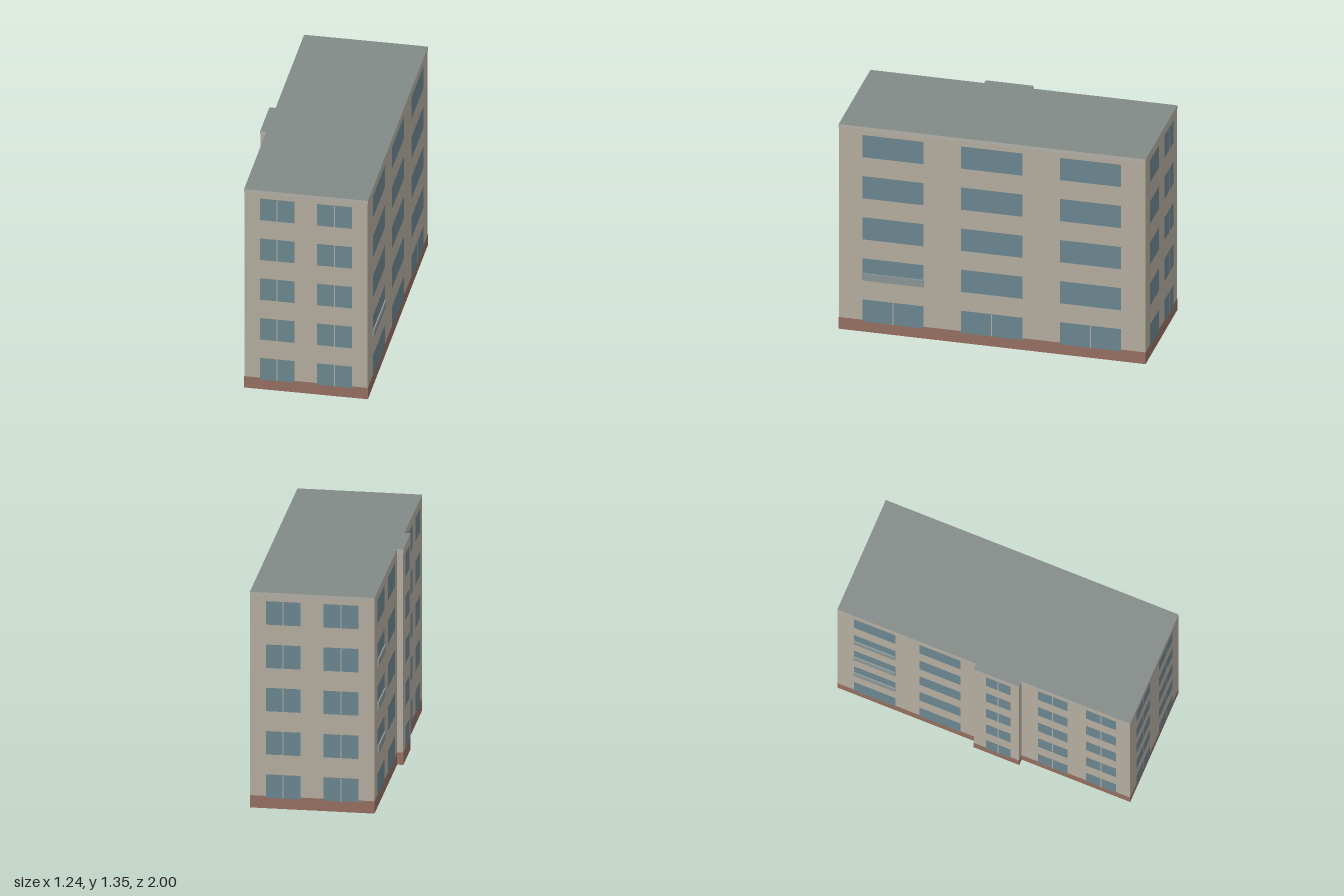
import * as THREE from 'three';
import { mergeGeometries } from 'three/addons/utils/BufferGeometryUtils.js';

const W = 0.37, L = 0.9325, H = 1.345;              // half width, half length, height
const BAY = { out: 0.037, z0: -0.047, z1: 0.24 };   // stair bay on the -x wall
const FLOORS = 5, STOREY = 0.27, SILL = 0.066, WIN_H = 0.146;

const mat = (color, side = THREE.FrontSide) => new THREE.MeshStandardMaterial({ color, side });

// Outline [x, z] of the block, grown outward by o
function footprint(o = 0) {
  const w = W + o, l = L + o, b = w + BAY.out, z0 = BAY.z0 - o, z1 = BAY.z1 + o;
  return [[-w, l], [w, l], [w, -l], [-w, -l], [-w, z0], [-b, z0], [-b, z1], [-w, z1]];
}

// Vertical band following the outline, facing outward
function band(points, y0, y1) {
  return mergeGeometries(points.map(([x, z], i) => {
    const [x2, z2] = points[(i + 1) % points.length];
    const dx = x2 - x, dz = z2 - z;
    return new THREE.PlaneGeometry(Math.hypot(dx, dz), y1 - y0)
      .rotateY(Math.atan2(-dz, dx))
      .translate((x + x2) / 2, (y0 + y1) / 2, (z + z2) / 2);
  }));
}

export function createModel() {
  const wallMat = mat(0xb5aea0, THREE.DoubleSide);
  const roofMat = mat(0x828a88, THREE.DoubleSide);
  const plinthMat = mat(0x966f61);
  const trimMat = mat(0xb3b0a8);
  const glassMat = mat(0x6c8790);
  const railMat = mat(0x8a9697);

  const block = new THREE.Group();
  block.name = 'apartmentBlock';
  const add = (parent, name, geometry, material, x = 0, y = 0, z = 0) => {
    const mesh = new THREE.Mesh(geometry, material);
    mesh.name = name;
    mesh.position.set(x, y, z);
    parent.add(mesh);
    return mesh;
  };

  // Hollow shell, open at the bottom
  add(block, 'walls', band(footprint(), 0, H), wallMat);
  add(block, 'plinth', band(footprint(0.0015), 0, 0.077), plinthMat);
  add(block, 'roofEdge', band(footprint(0.0015), 1.323, H), trimMat);
  const outline = new THREE.Shape(footprint(0.0015).map(([x, z]) => new THREE.Vector2(x, -z)));
  add(block, 'roof', new THREE.ShapeGeometry(outline).rotateX(-Math.PI / 2), roofMat, 0, H, 0);

  // Each facade: columns are centre (left to right, seen from outside), width,
  // the number of floors with a mullion, and the floors with a balcony rail
  const facades = [
    { name: 'frontFacade', turn: 0, dist: L,
      columns: [{ x: -0.172, w: 0.208, split: 5 }, { x: 0.172, w: 0.208, split: 5 }] },
    { name: 'backFacade', turn: Math.PI, dist: L,
      columns: [{ x: -0.172, w: 0.208, split: 5 }, { x: 0.172, w: 0.208, split: 5 }] },
    { name: 'longFacade', turn: Math.PI / 2, dist: W,
      columns: [{ x: -0.603, w: 0.372, split: 1, rails: [1] },
        { x: -0.002, w: 0.372, split: 1 }, { x: 0.6, w: 0.372, split: 1 }] },
    { name: 'entranceFacade', turn: -Math.PI / 2, dist: W,
      columns: [{ x: -0.695, w: 0.264, split: 0, rails: [1, 2, 3] }, { x: -0.278, w: 0.26, split: 0 },
        { x: 0.441, w: 0.19, split: 5 }, { x: 0.749, w: 0.19, split: 5 }] },
    { name: 'stairBayFacade', turn: -Math.PI / 2, dist: W + BAY.out,
      columns: [{ x: 0.108, w: 0.158, split: 5 }] },
  ];

  for (const { name, turn, dist, columns } of facades) {
    const facade = new THREE.Group();
    facade.name = name;
    facade.rotation.y = turn;
    facade.position.set(Math.sin(turn) * dist, 0, Math.cos(turn) * dist);
    block.add(facade);
    for (const { x, w, split, rails = [] } of columns) {
      for (let f = 0; f < FLOORS; f++) {
        const y = SILL + f * STOREY + WIN_H / 2;
        add(facade, 'window', new THREE.PlaneGeometry(w, WIN_H), glassMat, x, y, 0.003);
        if (f < split) add(facade, 'mullion', new THREE.PlaneGeometry(0.006, WIN_H), trimMat, x, y, 0.0045);
        if (rails.includes(f)) {
          add(facade, 'balconyRail', new THREE.BoxGeometry(w, 0.046, 0.01), railMat, x, y - 0.046, 0.0065);
        }
      }
    }
  }

  // The block stands turned on its plot
  block.rotation.y = -0.286;
  const model = new THREE.Group();
  model.name = 'building';
  model.add(block);
  return model;
}
